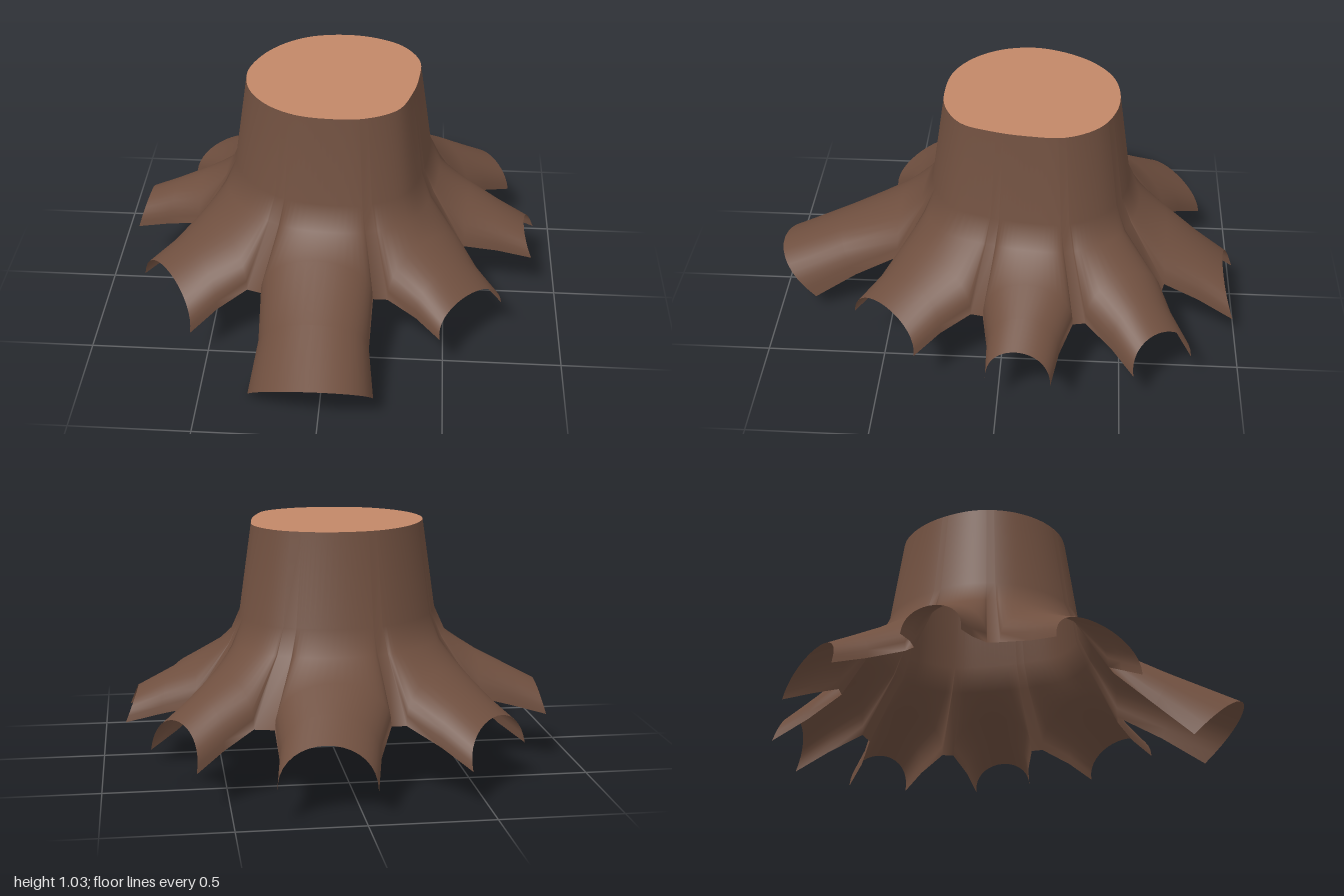
import * as THREE from 'three';

const V = (x, y, z) => new THREE.Vector3(x, y, z);
const TOP = 1.03, CENTRE_Z = -0.1, CROTCH_Y = 0.29, STEPS = 18;

// slightly lumpy rim of the cut: radii at even angles, from the front towards +x
const RIM = [.362, .38, .39, .36, .358, .388, .395, .378, .364, .36, .354, .355, .367, .372, .37, .366];
const rim = new THREE.CatmullRomCurve3(RIM.map((r, i) => {
  const a = i / RIM.length * Math.PI * 2;
  return V(Math.sin(a) * r, 0, Math.cos(a) * r);
}), true);

// each root: where its two edges leave the trunk [x, z], its two tip corners and its ridge tip [x, y, z]
const ROOTS = [
  { base: [[-.27, .46], [.20, .47]], tip: [[-.30, 0, .77], [.22, .07, .84]], ridge: [-.03, .235, 1] },
  { base: [[.26, .47], [.57, .12]], tip: [[.48, .21, .62], [.74, .20, .34]], ridge: [.59, .33, .47] },
  { base: [[.58, .07], [.61, -.30]], tip: [[.88, .22, .04], [.90, .21, -.22]], ridge: [.845, .33, -.09] },
  { base: [[.60, -.35], [.40, -.66]], tip: [[.80, .19, -.55], [.63, .16, -.79]], ridge: [.69, .33, -.65] },
  { base: [[.32, -.68], [-.14, -.69]], tip: [[.34, .13, -.98], [-.04, .13, -1]], ridge: [.15, .30, -.935] },
  { base: [[-.20, -.69], [-.55, -.36]], tip: [[-.43, .15, -.87], [-.70, .18, -.62]], ridge: [-.54, .32, -.72] },
  { base: [[-.58, -.32], [-.60, -.03]], tip: [[-.87, .21, -.33], [-.89, .21, -.10]], ridge: [-.84, .34, -.21] },
  { base: [[-.60, .02], [-.33, .44]], tip: [[-.80, .21, .25], [-.56, .15, .57]], ridge: [-.66, .33, .40] },
];

// point on an arch from a over the ridge to b, s from -1 to 1
function arch(a, b, ridge, s) {
  const lift = Math.pow(Math.max(0, Math.cos(s * Math.PI / 2)), 0.85);
  const mid = a.clone().lerp(b, 0.5);
  return a.clone().lerp(b, (1 + Math.sin(s * Math.PI / 2)) / 2)
    .addScaledVector(ridge.clone().sub(mid), lift);
}

// point on the trunk, widening downwards
function trunkPoint(angle, y, scale) {
  const t = (angle / (Math.PI * 2) + 1) % 1;
  const p = rim.getPoint(t).multiplyScalar(scale);
  return V(p.x, y, p.z + CENTRE_Z);
}

// one column of the bark, from the rim down to the tip of the root
function column(root, s) {
  const [a, b] = root.base.map(([x, z]) => V(x, CROTCH_Y, z));
  const [c, d] = root.tip.map(p => V(...p));
  const crown = a.clone().lerp(b, 0.5).setY(0.47);
  const ridge = V(...root.ridge);
  const base = arch(a, b, crown, s), tip = arch(c, d, ridge, s);
  const waist = base.clone().lerp(tip, 0.5);
  const axis = crown.clone().lerp(ridge, 0.5).setY(waist.y);
  waist.lerp(axis, 0.07);
  const angle = Math.atan2(base.x, base.z - CENTRE_Z);
  return [trunkPoint(angle, TOP, 1), trunkPoint(angle, 0.65, 1.15),
    trunkPoint(angle, 0.545, 1.28), base, waist, tip];
}

function barkGeometry() {
  const columns = [], index = [], ROWS = 6;
  for (const root of ROOTS)
    for (let j = 0; j <= STEPS; j++) columns.push(column(root, j / STEPS * 2 - 1));
  columns.forEach((_, i) => {
    // the gaps between roots are closed only down to the crotch
    const last = i % (STEPS + 1) === STEPS ? 3 : ROWS - 1;
    const next = (i + 1) % columns.length;
    for (let r = 0; r < last; r++) {
      const p = i * ROWS + r, q = next * ROWS + r;
      index.push(p, p + 1, q, q, p + 1, q + 1);
    }
  });
  const geometry = new THREE.BufferGeometry().setFromPoints(columns.flat());
  geometry.setIndex(index);
  geometry.computeVertexNormals();
  return geometry;
}

export function createModel() {
  const group = new THREE.Group();
  group.name = 'treeStump';

  // hollow trunk flowing into eight arched roots
  const bark = new THREE.Mesh(barkGeometry(),
    new THREE.MeshStandardMaterial({ color: 0x6f4f3f, side: THREE.DoubleSide }));
  bark.name = 'trunkAndRoots';
  group.add(bark);

  // flat sawn top
  const outline = rim.getPoints(96).slice(0, -1).map(p => new THREE.Vector2(p.x, -p.z));
  const cut = new THREE.Mesh(new THREE.ShapeGeometry(new THREE.Shape(outline)),
    new THREE.MeshStandardMaterial({ color: 0xc28768, side: THREE.DoubleSide }));
  cut.geometry.rotateX(-Math.PI / 2);
  cut.position.set(0, TOP, CENTRE_Z);
  cut.name = 'cutTop';
  group.add(cut);

  return group;
}
